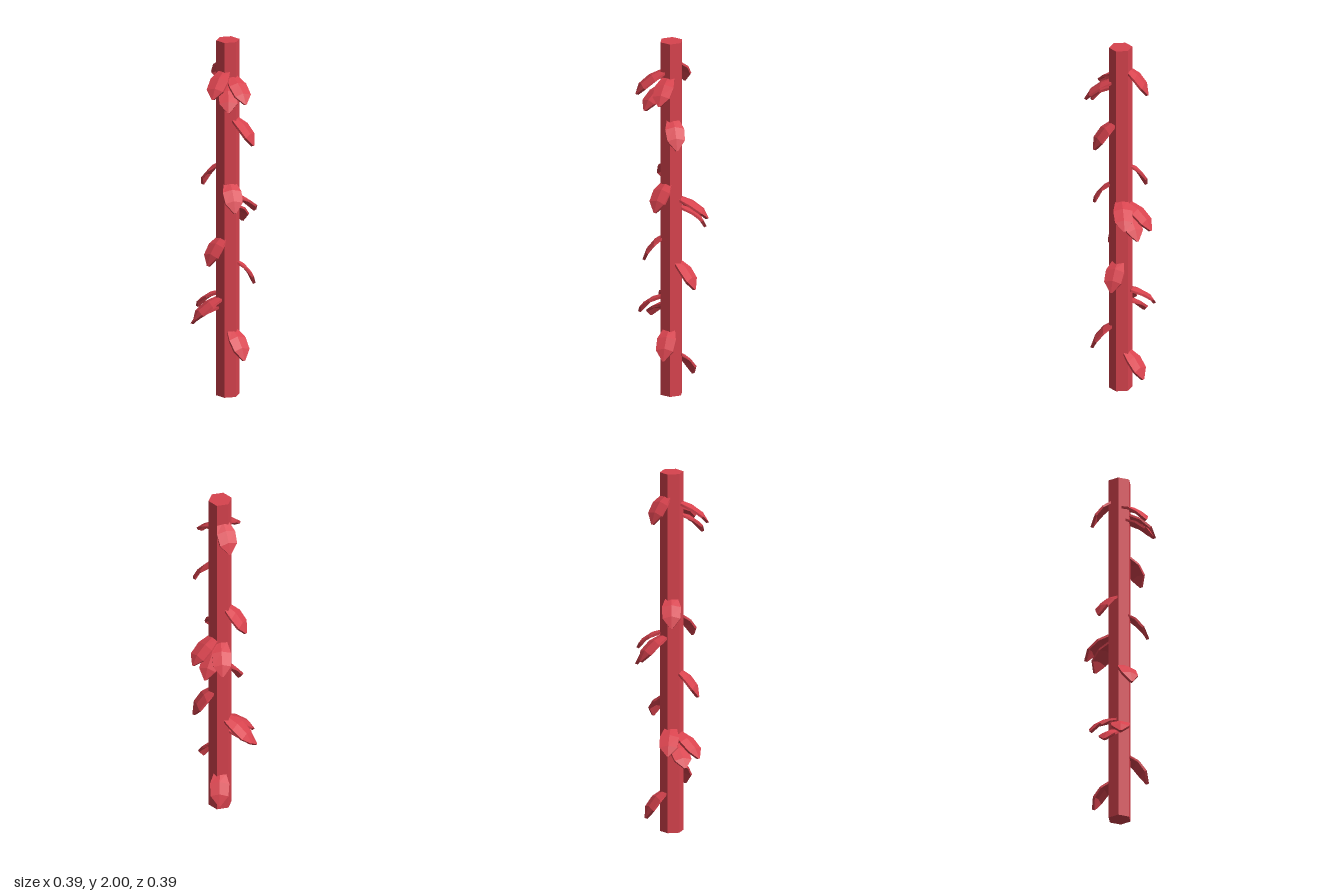
import * as THREE from 'three';

const AXIS_X = -0.008;
const STEM_RADIUS = 0.064;

// Leaf cross-sections from base to tip: reach, drop (both 0..1), half width, arch
const SECTIONS = [
  [0, 0, 0.034, 0.006],
  [0.42, 0.2, 0.052, 0.012],
  [0.8, 0.56, 0.048, 0.012],
  [1, 1, 0.005, 0.001],
];

// Each leaf: tip x, tip z, base height, tip height
const LEAVES = [
  [0.105, -0.11, 0.23, 0.08],
  [-0.035, 0.16, 0.38, 0.225],
  [-0.14, -0.15, 0.51, 0.39],
  [-0.193, -0.075, 0.56, 0.43],
  [-0.055, -0.195, 0.585, 0.46],
  [0.13, 0.07, 0.76, 0.61],
  [-0.163, 0.005, 0.9, 0.75],
  [0.175, -0.07, 1.07, 0.925],
  [0.12, -0.15, 1.1, 0.96],
  [0.194, 0.005, 1.12, 0.995],
  [-0.085, 0.14, 1.21, 1.06],
  [-0.06, -0.15, 1.31, 1.16],
  [0.04, 0.155, 1.57, 1.42],
  [-0.14, 0.145, 1.77, 1.64],
  [-0.055, 0.192, 1.81, 1.68],
  [-0.193, 0.075, 1.84, 1.71],
  [0.055, -0.142, 1.88, 1.73],
];

// Closed, arched leaf running outward along +z and curling down
function leafGeometry(reach, drop) {
  const start = 0.045;
  const pos = [];
  const index = [];
  for (const [u, v, w, arch] of SECTIONS) {
    const z = start + (reach - start) * u;
    const y = -drop * v;
    const dy = -0.014 + 0.009 * u;      // underside offset turns with the curl
    const dz = -0.014 * u;
    pos.push(-w, y - arch, z, 0, y, z, w, y - arch, z);
    pos.push(w, y - arch + dy, z + dz, 0, y + dy, z + dz, -w, y - arch + dy, z + dz);
  }
  const n = 6;
  const last = (SECTIONS.length - 1) * n;
  for (let i = 0; i < last; i += n) {
    for (let j = 0; j < n; j++) {
      const k = (j + 1) % n;
      index.push(i + j, i + n + j, i + k, i + k, i + n + j, i + n + k);
    }
  }
  // End caps as quad strips between upper and lower edges
  for (const [a, b, c, d] of [[0, 1, 4, 5], [1, 2, 3, 4]]) {
    index.push(a, b, c, a, c, d);
    index.push(last + a, last + c, last + b, last + a, last + d, last + c);
  }
  const geo = new THREE.BufferGeometry();
  geo.setAttribute('position', new THREE.Float32BufferAttribute(pos, 3));
  geo.setIndex(index);
  geo.computeVertexNormals();
  return geo;
}

export function createModel() {
  const model = new THREE.Group();
  model.name = 'leafyStalk';
  const material = new THREE.MeshStandardMaterial({ color: 0xd8434e, flatShading: true });

  // Six-sided stem
  const stem = new THREE.Mesh(new THREE.CylinderGeometry(STEM_RADIUS, STEM_RADIUS, 2, 6), material);
  stem.name = 'stem';
  stem.position.set(AXIS_X, 1, 0);
  model.add(stem);

  // Leaves around the stem
  const leaves = new THREE.Group();
  leaves.name = 'leaves';
  for (const [x, z, top, tip] of LEAVES) {
    const leaf = new THREE.Mesh(leafGeometry(Math.hypot(x - AXIS_X, z), top - tip - 0.008), material);
    leaf.name = 'leaf';
    leaf.position.set(AXIS_X, top, 0);
    leaf.rotation.y = Math.atan2(x - AXIS_X, z);
    leaves.add(leaf);
  }
  model.add(leaves);
  return model;
}
